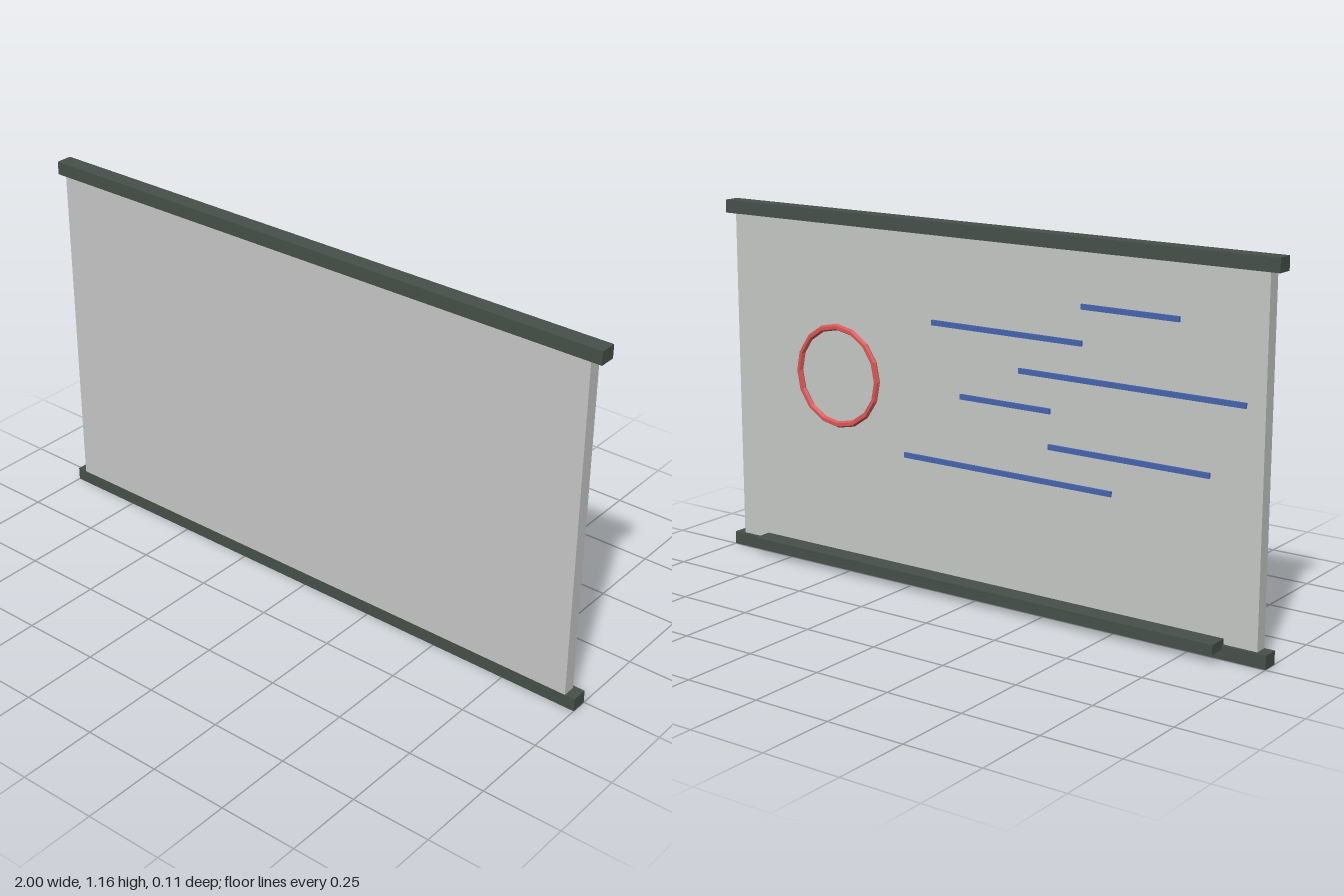
import * as THREE from 'three';

const mat = (name, color) => {
  const m = new THREE.MeshStandardMaterial({ color, flatShading: true });
  m.name = name;
  return m;
};

export function createModel() {
  const group = new THREE.Group();
  const darkGrey = mat('dark grey', 0x465049);
  const lightGrey = mat('light grey', 0xc6c8c6);
  const red = mat('red', 0xd85858);
  const blue = mat('blue', 0x4664ae);

  // Box given by its extents along each axis
  const box = (name, material, [x0, x1], [y0, y1], [z0, z1]) => {
    const mesh = new THREE.Mesh(new THREE.BoxGeometry(x1 - x0, y1 - y0, z1 - z0), material);
    mesh.position.set((x0 + x1) / 2, (y0 + y1) / 2, (z0 + z1) / 2);
    mesh.name = name;
    group.add(mesh);
  };

  // Board, its two rails and the pen tray
  box('boardPanel', lightGrey, [-0.967, 0.967], [0.03, 1.13], [0.012, 0.0535]);
  box('bottomRail', darkGrey, [-1, 1], [0, 0.042], [0.001, 0.054]);
  box('topRail', darkGrey, [-1, 1], [1.12, 1.162], [0.001, 0.054]);
  box('penTray', darkGrey, [-0.86, 0.86], [0.03, 0.06], [-0.054, 0.011]);

  // Drawn circle
  const ring = new THREE.Mesh(new THREE.TorusGeometry(0.158, 0.0105, 6, 16), red);
  ring.position.set(0.543, 0.637, 0.006);
  ring.name = 'drawnCircle';
  group.add(ring);

  // Written lines, evenly spaced from top to bottom: [centre x, length]
  const lines = [[-0.53, 0.325], [-0.1, 0.542], [-0.53, 0.758], [-0.1, 0.325], [-0.53, 0.542], [-0.1, 0.758]];
  lines.forEach(([x, length], i) => {
    const y = 0.96 - i * 0.108;
    box('writtenLine' + (i + 1), blue, [x - length / 2, x + length / 2], [y - 0.008, y + 0.008], [0.004, 0.0125]);
  });

  return group;
}
